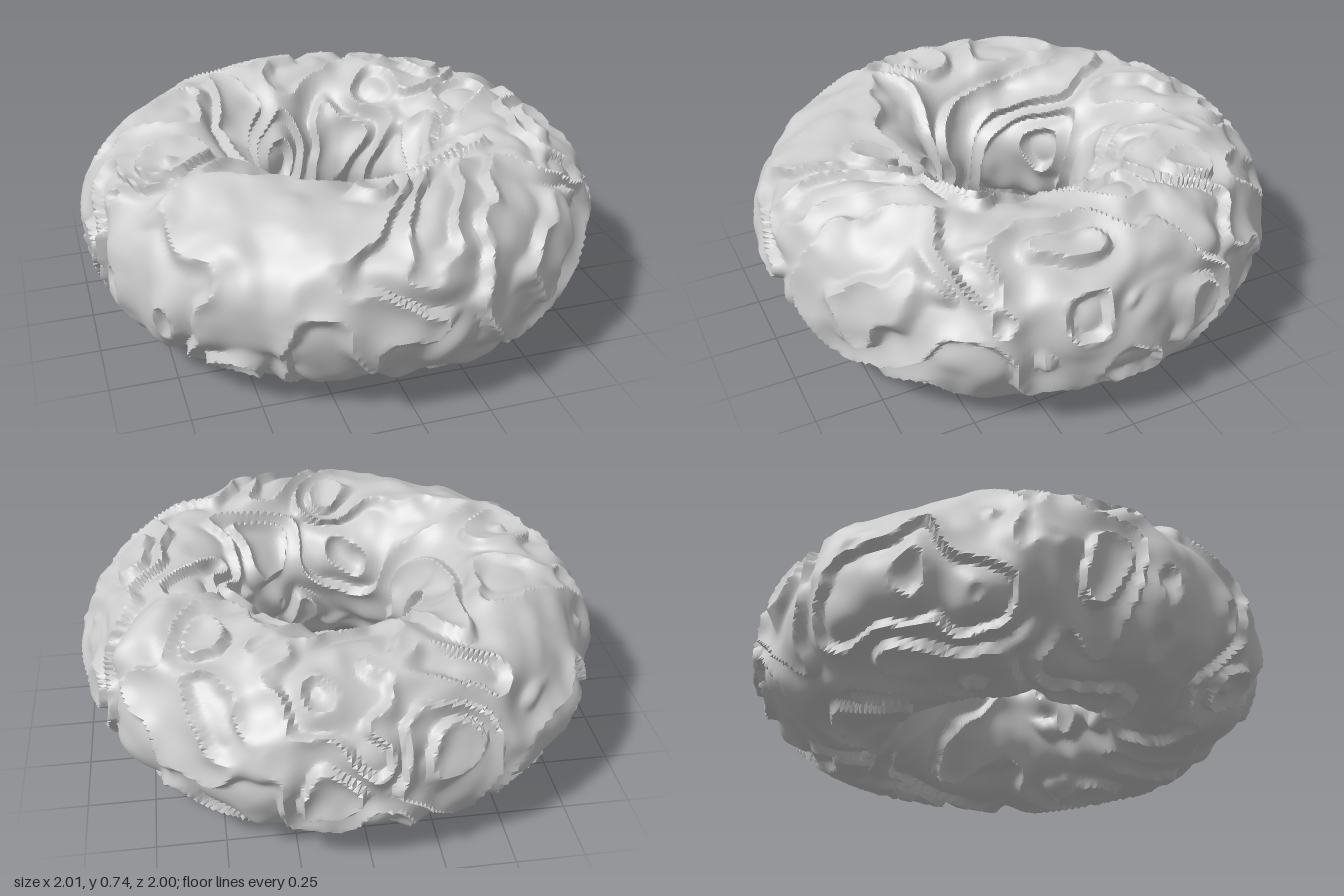
import * as THREE from 'three';
import { mergeVertices, toCreasedNormals } from 'three/addons/utils/BufferGeometryUtils.js';

const RING = 0.638, TUBE = 0.34, CENTRE_Y = 0.372;

// Hollows worn into the ring: x, y, z, width, depth
const HOLLOWS = [
  [0.0, 0.16, 0.9, 0.2, 0.02],
  [-0.45, 0.22, 0.83, 0.08, 0.02],
  [-0.91, 0.36, 0.27, 0.09, 0.035],
  [0.6, 0.36, 0.73, 0.1, 0.035],
  [0.75, 0.72, 0.12, 0.07, 0.02],
  [0.45, 0.72, -0.76, 0.07, 0.015],
  [0.0, 0.6, -0.42, 0.12, 0.025],
  [-0.42, 0.66, -0.18, 0.07, 0.025]
];

// Seeded lattice value in 0..1
function hash(x, y, z) {
  let h = Math.imul(x, 374761393) ^ Math.imul(y, 668265263) ^ Math.imul(z, 1274126177) ^ 9173;
  h = Math.imul(h ^ (h >>> 13), 1103515245);
  h = Math.imul(h ^ (h >>> 16), 2246822519);
  return ((h ^ (h >>> 15)) >>> 0) / 4294967296;
}

// Smooth 3D value noise
function noise(x, y, z) {
  const ix = Math.floor(x), iy = Math.floor(y), iz = Math.floor(z);
  const fade = t => t * t * t * (t * (t * 6 - 15) + 10);
  const u = fade(x - ix), v = fade(y - iy), w = fade(z - iz);
  let sum = 0;
  for (let i = 0; i < 8; i++) {
    const a = i & 1, b = (i >> 1) & 1, c = i >> 2;
    sum += hash(ix + a, iy + b, iz + c) * (a ? u : 1 - u) * (b ? v : 1 - v) * (c ? w : 1 - w);
  }
  return sum;
}

// Two lattices turned against each other, so no direction stands out
function turnedNoise(x, y, z) {
  return 0.5 * (noise(0.8 * x + 0.6 * y, 0.8 * y - 0.6 * x, z)
    + noise(x + 40, 0.7 * (y + z), 0.7 * (z - y)));
}

// Overlapping plates: a gentle rise to a sharp lip, then a short drop
function plates(x, y, z) {
  const wx = turnedNoise(x * 0.8 + 20, y * 0.8, z * 0.8);
  const wz = turnedNoise(x * 0.8, y * 0.8 + 30, z * 0.8);
  const n = turnedNoise(x + wx, y + wz, z - wx) + 0.12 * noise(x * 2.2 + 7, y * 2.2, z * 2.2);
  const f = (n * 4.6) % 1;
  return f < 0.75 ? (f / 0.75) ** 1.5 : ((1 - f) / 0.25) ** 1.5;
}

export function createModel() {
  const group = new THREE.Group();
  group.name = 'rockyRing';

  let geometry = new THREE.TorusGeometry(RING, TUBE, 180, 360);
  geometry.rotateX(Math.PI / 2);
  geometry.deleteAttribute('uv');
  geometry.deleteAttribute('normal');
  geometry = mergeVertices(geometry, 1e-5);

  // Push the tube in and out along its own section
  const pos = geometry.attributes.position;
  for (let i = 0; i < pos.count; i++) {
    const x = pos.getX(i), y = pos.getY(i), z = pos.getZ(i);
    const r = Math.hypot(x, z), cx = x / r, cz = z / r;
    const out = (r - RING) / TUBE, up = y / TUBE;
    const step = plates(x * 4.2 + 11, y * 3.6 + 5, z * 4.2 + 13);
    const swell = turnedNoise(x * 3 + 31, y * 3 + 3, z * 3 + 17) - 0.5;
    let radius = TUBE + 0.04 * (step - 0.4) + 0.02 * swell;
    for (const [hx, hy, hz, width, depth] of HOLLOWS) {
      const d2 = (x - hx) ** 2 + (y + CENTRE_Y - hy) ** 2 + (z - hz) ** 2;
      radius -= depth * Math.exp(-2 * d2 / width ** 2);
    }
    pos.setXYZ(i, cx * (RING + out * radius), up * radius, cz * (RING + out * radius));
  }

  // Stand it on the ground
  geometry.center();
  geometry.translate(0, -geometry.boundingBox.min.y, 0);

  const ring = new THREE.Mesh(
    toCreasedNormals(geometry, 0.7),
    new THREE.MeshStandardMaterial({ color: 0xcccccc })
  );
  ring.name = 'ring';
  group.add(ring);
  return group;
}
